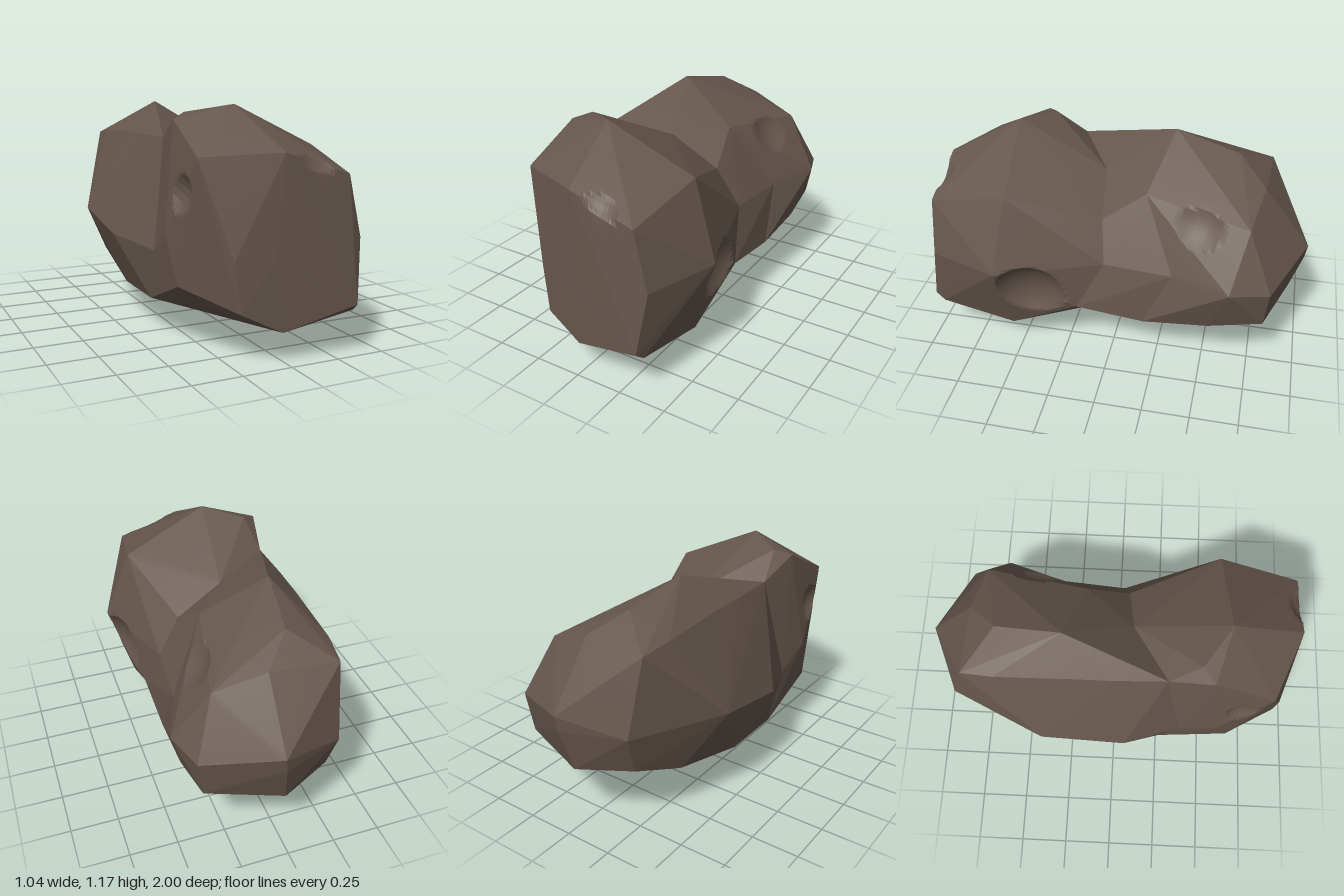
import * as THREE from 'three';
import { ConvexGeometry } from 'three/addons/geometries/ConvexGeometry.js';
import { toCreasedNormals } from 'three/addons/utils/BufferGeometryUtils.js';

// Cross-sections shared by neighbouring lumps
const frontJoint = [
  [-0.02, 0.95, 0.09], [0.23, 0.8, 0.06], [0.35, 0.6, 0.03], [0.41, 0.34, 0.17],
  [0.05, 0.06, 0.13], [-0.39, 0.18, 0.26], [-0.41, 0.45, 0.36], [-0.32, 1.0, 0.27],
];
const backJoint = [
  [-0.15, 1.16, -0.26], [0.18, 0.95, -0.16], [0.38, 0.6, -0.33], [0.41, 0.3, -0.19],
  [-0.09, 0, -0.24], [-0.39, 0.18, -0.1], [-0.52, 0.56, -0.38], [-0.33, 1.0, -0.2],
];

// Left bulge of the middle lump
const middleCorners = [[-0.52, 0.49, 0.06], [-0.33, 1.0, 0]];

// Corners of the front lump
const frontCorners = [
  [-0.08, 1.17, 0.57], [0.38, 0.96, 0.53], [-0.36, 1.1, 0.49], [-0.28, 1.13, 0.43],
  [-0.02, 0.97, 0.95], [0.32, 0.86, 0.95], [-0.38, 0.95, 0.8],
  [0.52, 0.57, 0.58], [0.39, 0.56, 0.95], [-0.06, 0.5, 0.95], [-0.25, 0.49, 0.91],
  [-0.43, 0.56, 0.55], [-0.4, 0.33, 0.63], [-0.22, 0.25, 0.92], [0.35, 0.25, 1],
  [0.36, 0.21, 0.95], [-0.02, 0.15, 0.95], [0.03, 0.07, 0.5], [0.39, 0.15, 0.54],
];

// Corners of the back lump
const backCorners = [
  [-0.1, 1.08, -0.6], [-0.33, 0.98, -0.6], [-0.31, 0.96, -0.77], [0.04, 0.97, -0.75],
  [0.3, 0.88, -0.7], [0.04, 0.65, -1], [0.03, 0.57, -0.99], [0.41, 0.58, -0.83],
  [0.48, 0.6, -0.63], [0.38, 0.37, -0.81], [0.41, 0.33, -0.53], [0, 0.34, -0.93],
  [-0.29, 0.57, -0.87], [-0.27, 0.36, -0.8], [-0.36, 0.28, -0.55], [-0.05, 0.13, -0.53],
];

// Shallow hollows worn into the surface: x, y, z, radius
const hollows = [
  [0.66, 0.41, 0.37, 0.28],
  [0.18, 1.02, 1.05, 0.18],
  [0.5, 1.0, -0.42, 0.29],
  [-0.5, 0.78, 0.68, 0.14],
];

// Splits every triangle into four
function subdivide(triangles) {
  const out = [];
  const mid = (p, q) => p.clone().add(q).multiplyScalar(0.5);
  for (const [a, b, c] of triangles) {
    const ab = mid(a, b), bc = mid(b, c), ca = mid(c, a);
    out.push([a, ab, ca], [ab, b, bc], [ca, bc, c], [ab, bc, ca]);
  }
  return out;
}

// Faceted lump with the hollows pressed in
function lump(name, corners, material) {
  const hull = new ConvexGeometry(corners.map((p) => new THREE.Vector3(...p)));
  const pos = hull.attributes.position;
  let triangles = [];
  for (let i = 0; i < pos.count; i += 3) {
    triangles.push([0, 1, 2].map((k) => new THREE.Vector3().fromBufferAttribute(pos, i + k)));
  }
  for (let i = 0; i < 4; i++) triangles = subdivide(triangles);
  const points = triangles.flat().map((p) => {
    const v = p.clone();
    for (const [x, y, z, r] of hollows) {
      const c = new THREE.Vector3(x, y, z);
      const d = v.distanceTo(c);
      if (d < r && d > 0.001) v.sub(c).multiplyScalar(r / d).add(c);
    }
    return v;
  });
  const geometry = new THREE.BufferGeometry().setFromPoints(points);
  const mesh = new THREE.Mesh(toCreasedNormals(geometry, 0.15), material);
  mesh.name = name;
  return mesh;
}

export function createModel() {
  const stone = new THREE.MeshStandardMaterial({ color: 0x65564c });
  stone.name = 'brown stone';
  const rock = new THREE.Group();
  rock.name = 'rock';
  rock.add(
    lump('frontLump', [...frontCorners, ...frontJoint], stone),
    lump('middleLump', [...frontJoint, ...middleCorners, ...backJoint], stone),
    lump('backLump', [...backCorners, ...backJoint], stone),
  );
  return rock;
}
